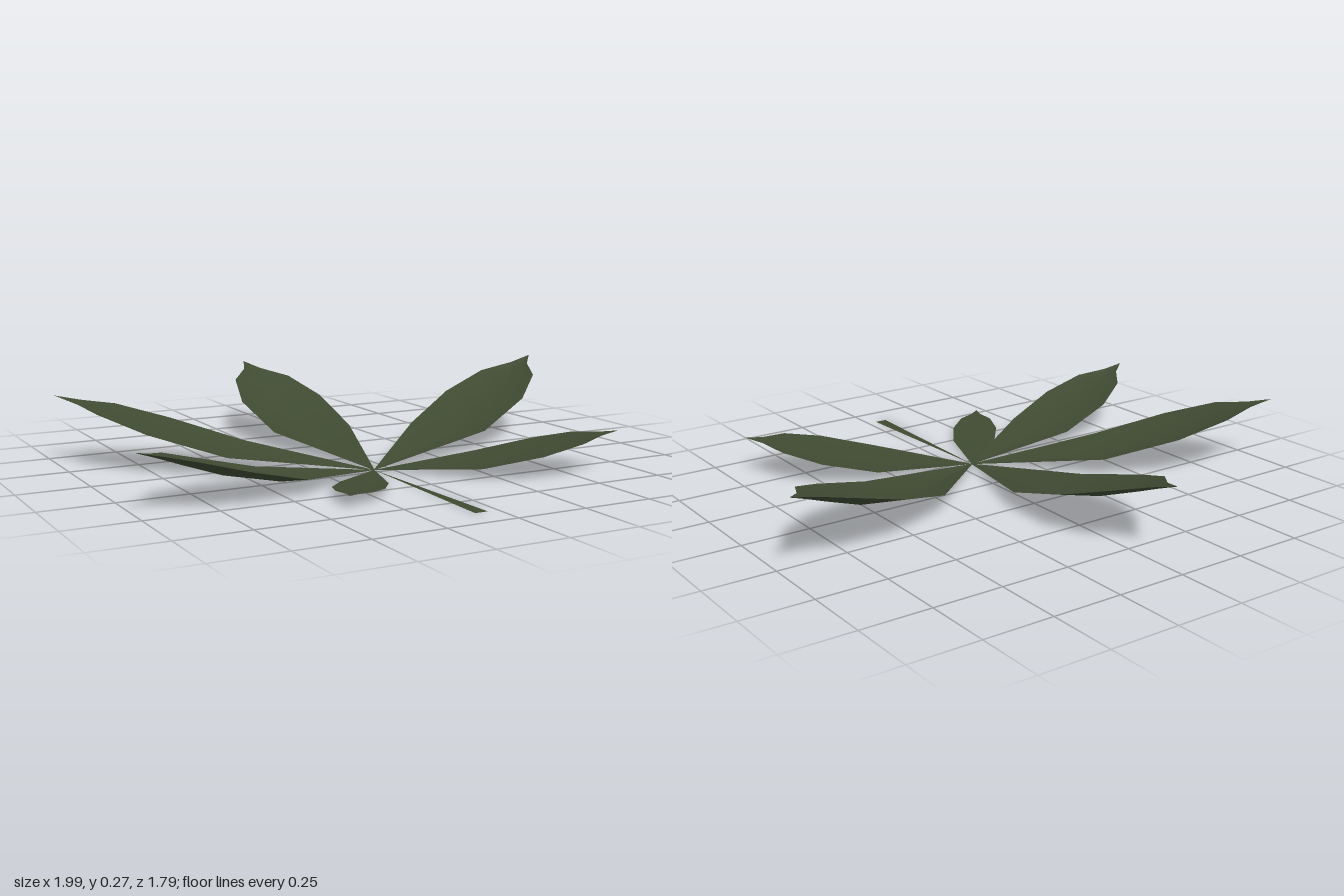
import * as THREE from 'three';

const leafGreen = new THREE.MeshStandardMaterial({ color: 0x3f4a32, side: THREE.DoubleSide });
leafGreen.name = 'leafGreen';

// Point where all leaflets and the stem meet
const HUB = { x: -0.06, z: 0.22 };

// Cross-sections of a leaflet: [fraction of length, half width, rim height, midrib height]
const SECTIONS = [
  [0, 0.002, 0, 0],
  [0.43, 0.158, 0.066, 0.03],
  [0.67, 0.169, 0.142, 0.1],
  [0.835, 0.117, 0.2, 0.172],
  [0.925, 0.036, 0.225, 0.213],
  [1, 0, 0.245, 0.245],
];

// Shallow folded sheet pointing along -z, lofted through the cross-sections
function leafletGeometry(length, widthScale, tipHeight) {
  const positions = [];
  const index = [];
  const rise = tipHeight / 0.245;
  SECTIONS.forEach(([t, w, rim, mid], i) => {
    const z = -t * length;
    const hw = w * widthScale;
    positions.push(-hw, rim * rise, z, 0, mid * rise, z, hw, rim * rise, z);
    if (i === SECTIONS.length - 1) return;
    for (let k = 0; k < 2; k++) {
      const a = i * 3 + k;
      index.push(a, a + 1, a + 3, a + 1, a + 4, a + 3);
    }
  });
  const geometry = new THREE.BufferGeometry();
  geometry.setAttribute('position', new THREE.Float32BufferAttribute(positions, 3));
  geometry.setIndex(index);
  geometry.computeVertexNormals();
  return geometry;
}

// Each leaflet: tip position, width scale
const LEAFLETS = [
  { name: 'backLeaflet', tip: [-0.06, 0.245, -0.9], width: 1 },
  { name: 'backLeftLeaflet', tip: [0.99, 0.27, -0.345], width: 1 },
  { name: 'backRightLeaflet', tip: [-1.0, 0.245, -0.405], width: 1 },
  { name: 'frontRightLeaflet', tip: [-1.0, 0.197, 0.46], width: 0.86 },
  { name: 'frontLeftLeaflet', tip: [0.68, 0.14, 0.62], width: 1 },
  { name: 'smallFrontLeaflet', tip: [-0.395, 0.042, 0.67], width: 0.51 },
];

export function createModel() {
  const leaf = new THREE.Group();
  leaf.name = 'palmateLeaf';

  for (const { name, tip, width } of LEAFLETS) {
    const dx = tip[0] - HUB.x;
    const dz = tip[2] - HUB.z;
    const leaflet = new THREE.Mesh(leafletGeometry(Math.hypot(dx, dz), width, tip[1]), leafGreen);
    leaflet.name = name;
    leaflet.position.set(HUB.x, 0, HUB.z);
    leaflet.rotation.y = Math.atan2(-dx, -dz);
    leaf.add(leaflet);
  }

  // Flat stem widening towards the front, lying on the ground
  const outline = new THREE.Shape([
    new THREE.Vector2(0, 0),
    new THREE.Vector2(-0.023, -0.67),
    new THREE.Vector2(0.023, -0.67),
  ]);
  const stem = new THREE.Mesh(new THREE.ShapeGeometry(outline), leafGreen);
  stem.name = 'stem';
  stem.rotation.x = -Math.PI / 2;
  stem.position.set(HUB.x, 0, HUB.z);
  leaf.add(stem);

  return leaf;
}
